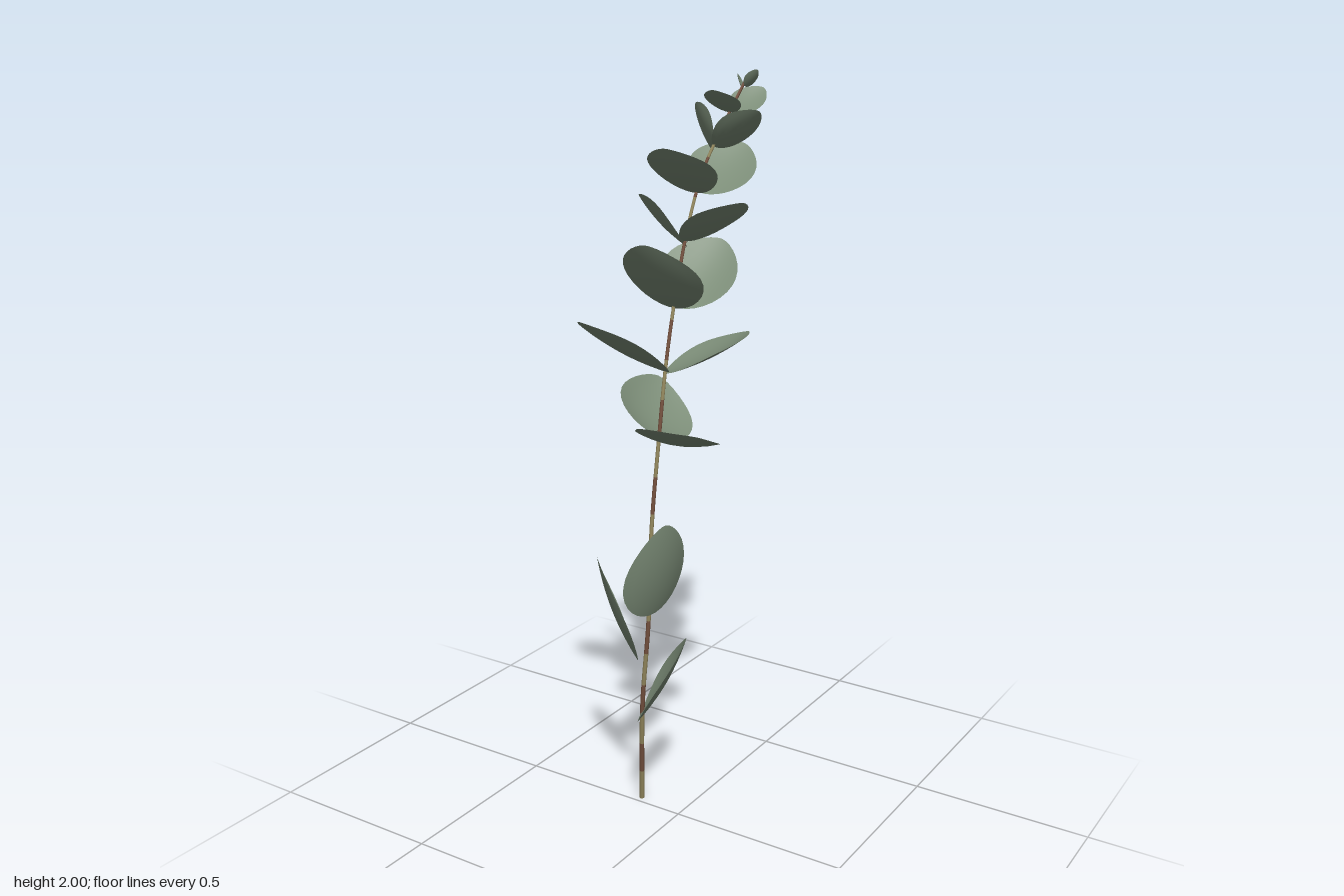
import * as THREE from 'three';

const leafGreen = new THREE.MeshStandardMaterial({ color: 0x7c8d78, side: THREE.DoubleSide });
leafGreen.name = 'leaf grey green';
const stemOlive = new THREE.MeshStandardMaterial({ color: 0x9a8e62 });
stemOlive.name = 'stem olive';
const stemBrown = new THREE.MeshStandardMaterial({ color: 0x7a5542 });
stemBrown.name = 'stem red brown';

const V = (p) => new THREE.Vector3(...p);

// Centre line of the stem
const stemCurve = new THREE.CatmullRomCurve3([
  [-0.135, 0, -0.02], [-0.09, 0.33, 0.04], [-0.052, 0.6, 0.064], [-0.037, 0.86, 0.07],
  [-0.02, 1.1, 0.06], [-0.01, 1.3, 0.04], [0, 1.46, 0.014], [0.015, 1.63, -0.02],
  [0.035, 1.765, -0.058], [0.065, 1.87, -0.1], [0.1, 1.975, -0.145],
].map(V));

// Tapered tube in olive and brown bands: rings shrink towards the centre line near the tip
function makeStem() {
  const rings = 60, sides = 8, band = 3;
  const geo = new THREE.TubeGeometry(stemCurve, rings, 0.007, sides);
  const pos = geo.attributes.position, v = new THREE.Vector3();
  for (let i = 0; i < pos.count; i++) {
    const t = Math.floor(i / (sides + 1)) / rings;
    const c = stemCurve.getPointAt(t);
    v.fromBufferAttribute(pos, i).sub(c).multiplyScalar(1 - 0.5 * t).add(c);
    pos.setXYZ(i, v.x, v.y, v.z);
  }
  for (let r = 0; r < rings; r += band) {
    geo.addGroup(r * sides * 6, band * sides * 6, (r / band) % 2);
  }
  const mesh = new THREE.Mesh(geo, [stemOlive, stemBrown]);
  mesh.name = 'stem';
  return mesh;
}

// Round, slightly cupped blade from base to tip; across hints at its width direction,
// skew below 1 widens it near the base and above 1 near the tip
function makeLeaf(base, tip, width, across, sag = 0.05, skew = 0.97) {
  const b = V(base), a = V(tip).sub(b), len = a.length();
  a.normalize();
  const w = V(across).addScaledVector(a, -V(across).dot(a)).normalize();
  const n = new THREE.Vector3().crossVectors(w, a);
  if (n.y < 0) { n.negate(); w.negate(); }
  const geo = new THREE.PlaneGeometry(1, 1, 8, 16);
  const pos = geo.attributes.position, v = new THREE.Vector3();
  for (let i = 0; i < pos.count; i++) {
    const t = (1 - Math.cos(Math.PI * (pos.getY(i) + 0.5))) / 2;
    const s = 2 * pos.getX(i) * Math.pow(Math.max(0, Math.sin(Math.PI * Math.pow(t, skew))), 0.58);
    const lift = 0.1 * width * s * s - sag * len * 4 * t * (1 - t);
    v.copy(b).addScaledVector(a, len * t).addScaledVector(w, s * width / 2).addScaledVector(n, lift);
    pos.setXYZ(i, v.x, v.y, v.z);
  }
  geo.computeVertexNormals();
  return new THREE.Mesh(geo, leafGreen);
}

// Leaves from bottom to top: base, tip, width, width direction, sag, skew
const X = [1, 0, 0], Z = [0, 0, 1];
const leaves = {
  lowerLeaf: [
    [[-0.09, 0.3, 0.055], [0.037, 0.545, 0.02], 0.215, [0.35, -0.1, 0.9], 0.05, 0.82],
    [[-0.072, 0.49, 0.09], [-0.172, 0.77, 0.125], 0.21, [0.6, 0.25, 0.75], 0.05, 0.82],
    [[-0.045, 0.615, 0.072], [0.003, 0.875, 0.065], 0.22, [-0.2, 0, 1], 0.05, 0.82],
  ],
  middleLeaf: [
    [[-0.025, 1.107, 0.06], [0.182, 1.175, 0.207], 0.21, [0.8, -0.2, -0.57], 0.08, 1.15],
    [[-0.02, 1.107, 0.06], [-0.15, 1.208, -0.137], 0.215, [-0.55, 0.4, 0.73], 0.12],
    [[0, 1.275, 0.045], [-0.17, 1.41, 0.192], 0.2, [0.78, 0.17, 0.55]],
    [[-0.01, 1.272, 0.045], [0.143, 1.368, -0.108], 0.195, [0.5, 0, 0.8]],
    [[0, 1.432, 0.015], [0.005, 1.607, 0.155], 0.22, X, 0.05, 0.9],
    [[0, 1.435, 0.015], [0.025, 1.583, -0.167], 0.195, [0.87, -0.38, 0]],
  ],
  upperLeaf: [
    [[0.012, 1.588, -0.015], [-0.14, 1.69, -0.04], 0.18, [0.25, 0.45, 0.78]],
    [[0.012, 1.595, -0.015], [0.175, 1.7, -0.015], 0.18, [-0.05, 0.2, 1]],
    [[0.028, 1.71, -0.045], [0.022, 1.828, 0.1], 0.185, X],
    [[0.028, 1.712, -0.05], [0.05, 1.818, -0.23], 0.17, [0.87, -0.35, 0]],
    [[0.05, 1.82, -0.085], [-0.025, 1.915, -0.115], 0.125, [0.45, 0.5, 0.6]],
    [[0.05, 1.82, -0.085], [0.155, 1.905, -0.12], 0.13, [-0.1, 0.35, 0.9]],
  ],
  tipLeaf: [
    [[0.078, 1.9, -0.115], [0.083, 1.957, -0.022], 0.092, X],
    [[0.078, 1.9, -0.115], [0.108, 1.955, -0.222], 0.08, [0.87, -0.42, 0]],
    [[0.095, 1.955, -0.14], [0.08, 1.99, -0.142], 0.04, [0.2, 0.3, 0.9]],
    [[0.1, 1.96, -0.145], [0.127, 2, -0.155], 0.045, [-0.1, 0.3, 0.9]],
  ],
};

export function createModel() {
  const sprig = new THREE.Group();
  sprig.name = 'leafySprig';
  sprig.add(makeStem());
  for (const [name, list] of Object.entries(leaves)) {
    list.forEach((spec, i) => {
      const leaf = makeLeaf(...spec);
      leaf.name = name + (i + 1);
      sprig.add(leaf);
    });
  }
  return sprig;
}
